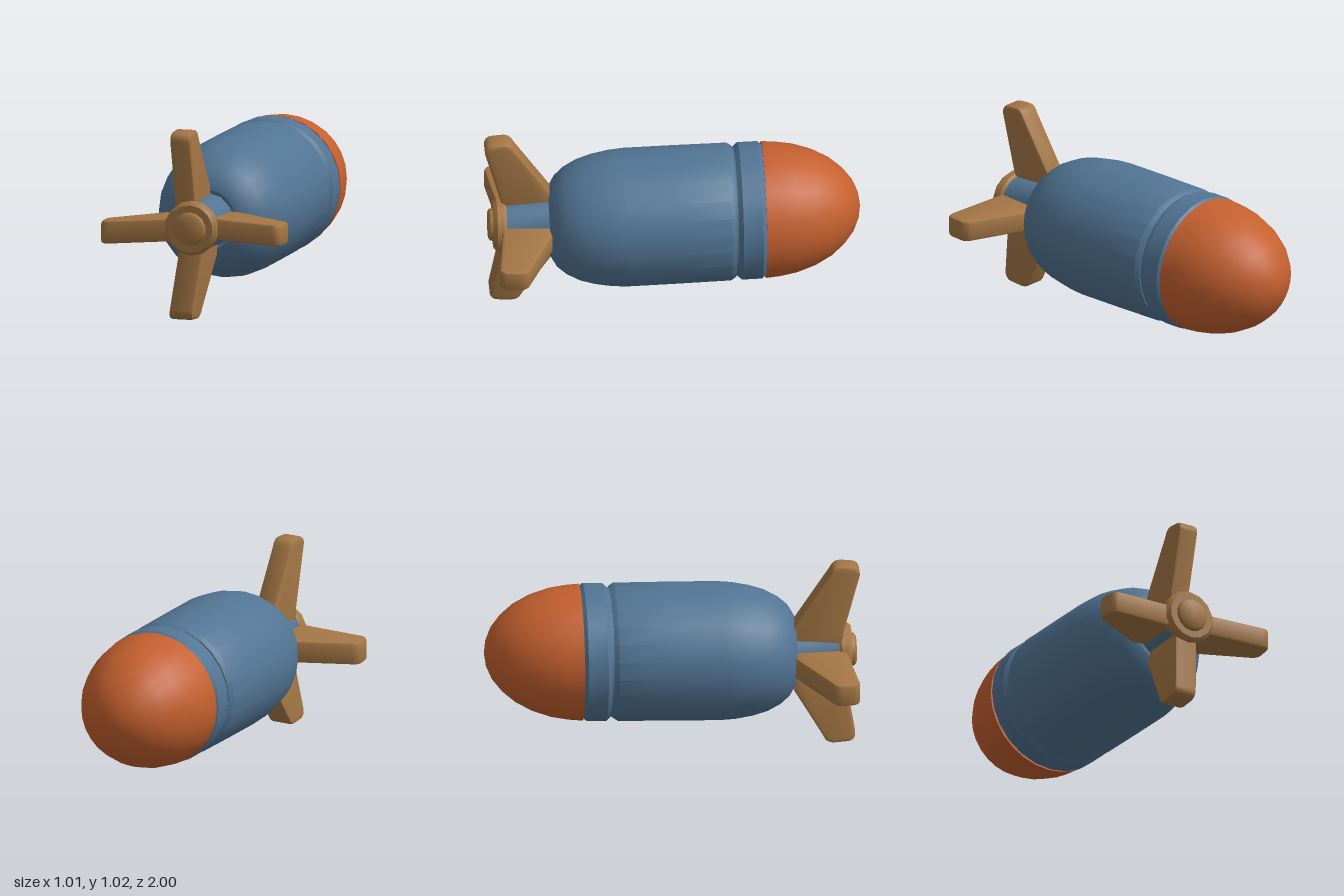
import * as THREE from 'three';
import { toCreasedNormals } from 'three/addons/utils/BufferGeometryUtils.js';

const blue = new THREE.MeshStandardMaterial({ color: 0x527594 });
const orange = new THREE.MeshStandardMaterial({ color: 0xc4602f });
const brass = new THREE.MeshStandardMaterial({ color: 0xa47645 });
blue.name = 'steelBlue';
orange.name = 'noseOrange';
brass.name = 'finBrass';

// The long axis runs along z and dips slightly towards the tail
const axisHeight = (z) => 0.516 - 0.02 * z;

// Round part from [z, radius] pairs, listed from the nose (-z) to the tail (+z)
function turned(name, profile, material, sides = 24) {
  const points = profile.map(([z, r]) => new THREE.Vector2(r, z));
  const geo = new THREE.LatheGeometry(points, sides);
  geo.rotateX(Math.PI / 2);
  const p = geo.attributes.position;
  for (let i = 0; i < p.count; i++) p.setY(i, p.getY(i) + axisHeight(p.getZ(i)));
  const mesh = new THREE.Mesh(toCreasedNormals(geo, 0.6), material);
  mesh.name = name;
  return mesh;
}

// Swept blade: rootZ and tipZ are [back, front]; rootW and tipW shift it sideways
function fin({ name, angle, tip, rootZ, tipZ, rootW, tipW, half }) {
  const bevel = 0.016;
  const root = 0.06;
  const shape = new THREE.Shape();
  const end = tip - bevel;
  const back = tipZ[0] + bevel;
  const front = tipZ[1] - bevel;
  shape.moveTo(root, rootZ[0] + bevel);
  shape.lineTo(0.17, rootZ[0] + bevel);
  shape.lineTo(end - 0.03, back - 0.01);
  shape.quadraticCurveTo(end, back, end, back + 0.03);
  shape.lineTo(end - 0.005, front - 0.03);
  shape.quadraticCurveTo(end - 0.008, front, end - 0.04, front - 0.004);
  shape.lineTo(0.14, rootZ[1] - bevel);
  shape.lineTo(root, rootZ[1] - bevel);
  const geo = new THREE.ExtrudeGeometry(shape, {
    depth: 2 * (half - bevel), bevelThickness: bevel, bevelSize: bevel,
    bevelSegments: 2, curveSegments: 4,
  });
  geo.translate(0, 0, bevel - half);
  // Lean the blade and turn it to its place around the hub
  const p = geo.attributes.position;
  const c = Math.cos(angle), s = Math.sin(angle);
  for (let i = 0; i < p.count; i++) {
    const u = p.getX(i), z = p.getY(i);
    const t = (u - 0.14) / (tip - 0.14);
    // The sideways axis is flipped to keep the faces outward
    const w = p.getZ(i) + THREE.MathUtils.lerp(rootW, tipW, t);
    p.setXYZ(i, u * c - w * s, 0.5 + u * s + w * c, z);
  }
  // Swapping axes mirrors the solid, so reverse each triangle
  const a = p.array;
  for (let i = 0; i < a.length; i += 9) {
    for (let k = 0; k < 3; k++) {
      const v = a[i + 3 + k];
      a[i + 3 + k] = a[i + 6 + k];
      a[i + 6 + k] = v;
    }
  }
  const mesh = new THREE.Mesh(toCreasedNormals(geo, 0.7), brass);
  mesh.name = name;
  return mesh;
}

export function createModel() {
  const model = new THREE.Group();
  model.name = 'bomb';

  // Rounded nose
  model.add(turned('nose', [
    [-1, 0], [-0.99, 0.07], [-0.96, 0.14], [-0.91, 0.203], [-0.84, 0.262],
    [-0.75, 0.31], [-0.65, 0.343], [-0.56, 0.358], [-0.485, 0.364], [-0.485, 0.3],
  ], orange, 28));

  // Band, groove and barrel
  model.add(turned('collar', [
    [-0.485, 0.3], [-0.485, 0.35], [-0.465, 0.368], [-0.36, 0.368],
    [-0.335, 0.345], [-0.322, 0.345],
  ], blue));
  model.add(turned('barrel', [
    [-0.325, 0.3], [-0.325, 0.352], [-0.3, 0.369], [0, 0.371], [0.25, 0.371],
    [0.33, 0.365], [0.42, 0.349], [0.5, 0.325], [0.57, 0.288], [0.62, 0.245],
    [0.655, 0.185], [0.66, 0.16], [0.645, 0.13], [0.645, 0],
  ], blue));

  // Tail stem and the hub on its end
  model.add(turned('tailStem', [[0.63, 0.145], [0.91, 0.132]], blue, 12));
  model.add(turned('hub', [
    [0.885, 0.08], [0.885, 0.135], [0.9, 0.146], [0.935, 0.146], [0.955, 0.128],
    [0.955, 0.09], [0.972, 0.086], [0.982, 0.07], [0.985, 0],
  ], brass, 14));

  // Four swept fins, each leaning a little
  const quarter = Math.PI / 2;
  [
    { name: 'leftFin', tip: 0.507, rootZ: [0.64, 0.91], tipZ: [0.79, 0.95], rootW: -0.005, tipW: -0.018, half: 0.058 },
    { name: 'topFin', tip: 0.522, rootZ: [0.64, 0.91], tipZ: [0.85, 1.0], rootW: 0.042, tipW: 0.042, half: 0.058 },
    { name: 'rightFin', tip: 0.507, rootZ: [0.64, 0.93], tipZ: [0.83, 0.975], rootW: 0.02, tipW: 0.045, half: 0.062 },
    { name: 'bottomFin', tip: 0.5, rootZ: [0.63, 0.92], tipZ: [0.81, 0.975], rootW: -0.01, tipW: -0.05, half: 0.067 },
  ].forEach((f, i) => model.add(fin({ ...f, angle: i * quarter })));

  return model;
}
